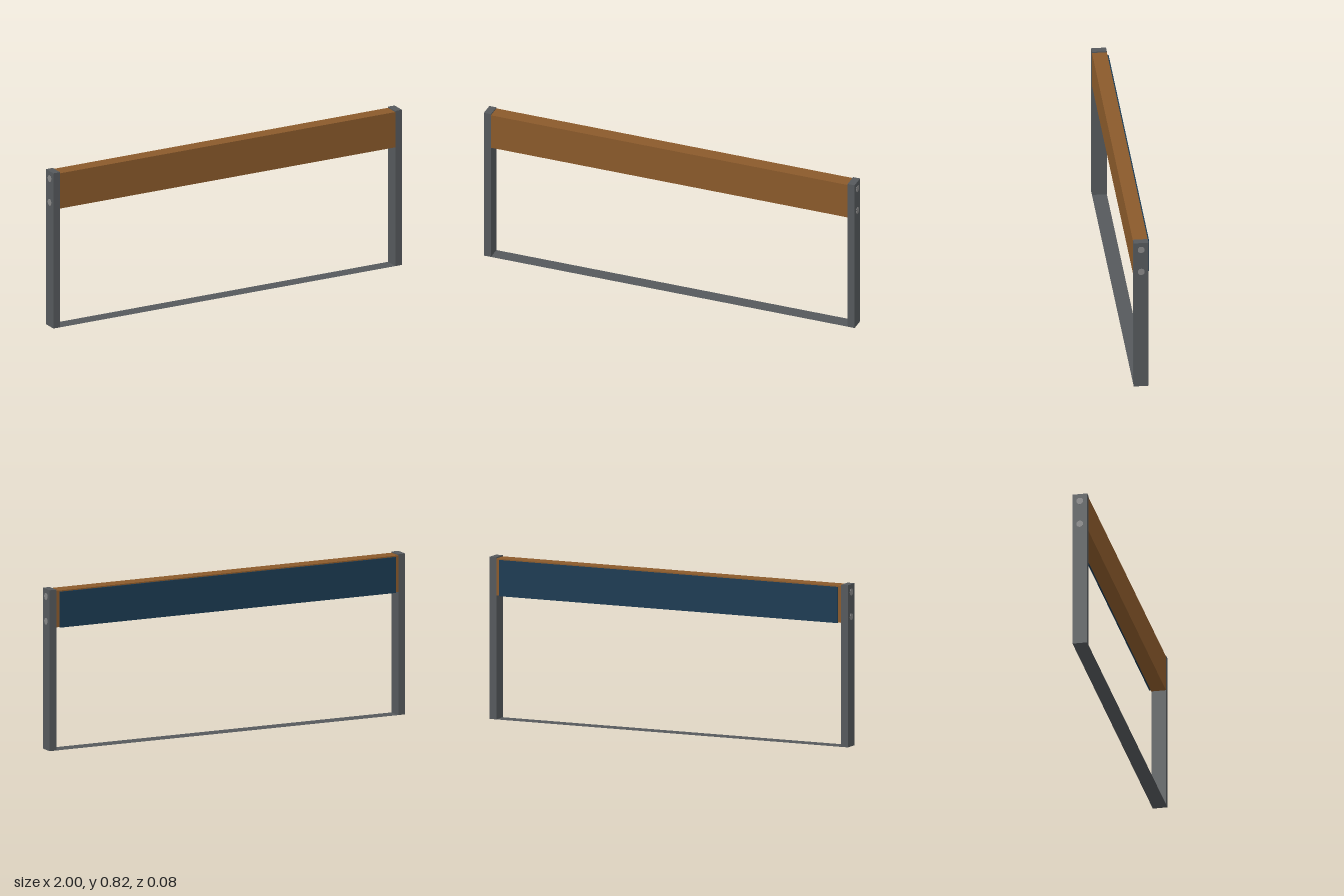
import * as THREE from 'three';

const steel = new THREE.MeshStandardMaterial({ name: 'dark steel', color: 0x55595c, side: THREE.DoubleSide });
const wood = new THREE.MeshStandardMaterial({ name: 'brown wood', color: 0x8b5a2b });
const navy = new THREE.MeshStandardMaterial({ name: 'navy panel', color: 0x1b3a52 });
const boltGrey = new THREE.MeshStandardMaterial({ name: 'bolt grey', color: 0x888888 });

// Box given by its lower and upper corners
function box(name, material, [x0, y0, z0], [x1, y1, z1]) {
  const mesh = new THREE.Mesh(new THREE.BoxGeometry(x1 - x0, y1 - y0, z1 - z0), material);
  mesh.position.set((x0 + x1) / 2, (y0 + y1) / 2, (z0 + z1) / 2);
  mesh.name = name;
  return mesh;
}

export function createModel() {
  const model = new THREE.Group();
  model.name = 'barrierFrame';
  const back = -0.034, front = 0.041;
  const midZ = (back + front) / 2;

  // Upright posts with two flat bolt heads on each outer face
  for (const side of [-1, 1]) {
    const post = new THREE.Group();
    post.name = side > 0 ? 'leftPost' : 'rightPost';
    const xs = [side * 0.96, side * 0.998].sort((a, b) => a - b);
    post.add(box('upright', steel, [xs[0], 0, back], [xs[1], 0.823, front]));
    for (const y of [0.658, 0.784]) {
      const bolt = new THREE.Mesh(new THREE.CylinderGeometry(0.0175, 0.0175, 0.004, 24), boltGrey);
      bolt.name = 'bolt';
      bolt.rotation.z = Math.PI / 2;
      bolt.position.set(side * 0.998, y, midZ);
      post.add(bolt);
    }
    model.add(post);
  }

  // Thin floor strip joining the posts
  const strip = new THREE.Mesh(new THREE.PlaneGeometry(1.92, front - back), steel);
  strip.name = 'floorStrip';
  strip.rotation.x = -Math.PI / 2;
  strip.position.z = midZ;
  model.add(strip);

  // Wooden beam and the panel fixed to its back
  model.add(box('beam', wood, [-0.96, 0.63, back], [0.96, 0.817, front]));
  model.add(box('backPanel', navy, [-0.942, 0.628, -0.041], [0.942, 0.811, back]));
  return model;
}
